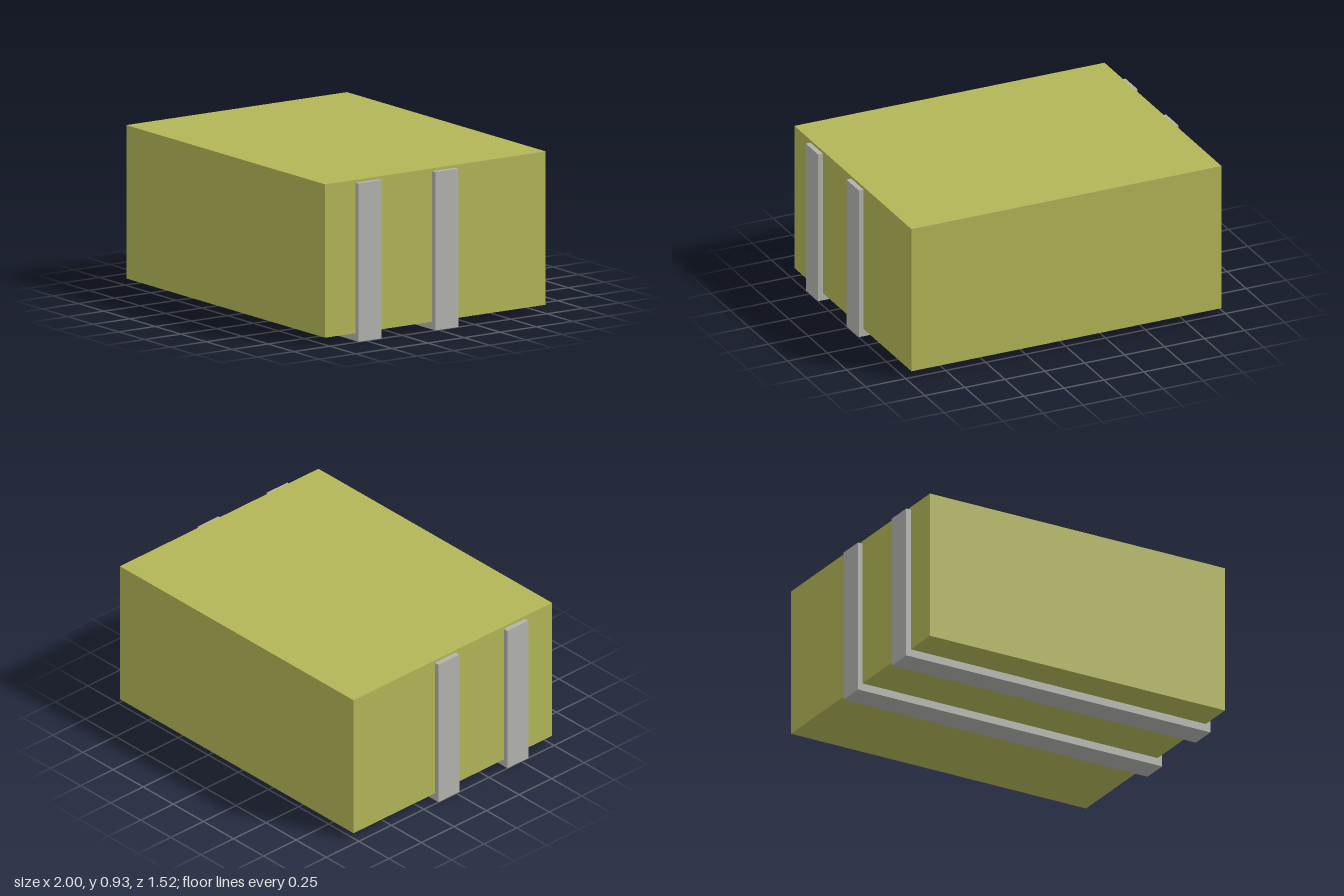
import * as THREE from 'three';

export function createModel() {
  const group = new THREE.Group();
  const olive = new THREE.MeshStandardMaterial({ name: 'olive', color: 0xb2b556 });
  const grey = new THREE.MeshStandardMaterial({ name: 'lightGrey', color: 0xb2b2ad });

  const halfWidth = 0.97, bottom = 0.045, top = 0.93, depth = 1.525;

  // Main block, raised by the thickness of the straps
  const block = new THREE.Mesh(new THREE.BoxGeometry(halfWidth * 2, top - bottom, depth), olive);
  block.name = 'block';
  block.position.y = (top + bottom) / 2;
  group.add(block);

  // U-shaped strap section: up both sides and under the block
  const strapTop = 0.914, strapWidth = 0.16;
  const section = new THREE.Shape([
    [-1, 0], [1, 0], [1, strapTop], [halfWidth, strapTop],
    [halfWidth, bottom], [-halfWidth, bottom], [-halfWidth, strapTop], [-1, strapTop],
  ].map(([x, y]) => new THREE.Vector2(x, y)));
  const strapGeometry = new THREE.ExtrudeGeometry(section, { depth: strapWidth, bevelEnabled: false });
  strapGeometry.translate(0, 0, -strapWidth / 2);

  for (const [name, z] of [['frontStrap', 0.472], ['middleStrap', -0.058]]) {
    const strap = new THREE.Mesh(strapGeometry, grey);
    strap.name = name;
    strap.position.z = z;
    group.add(strap);
  }
  return group;
}
